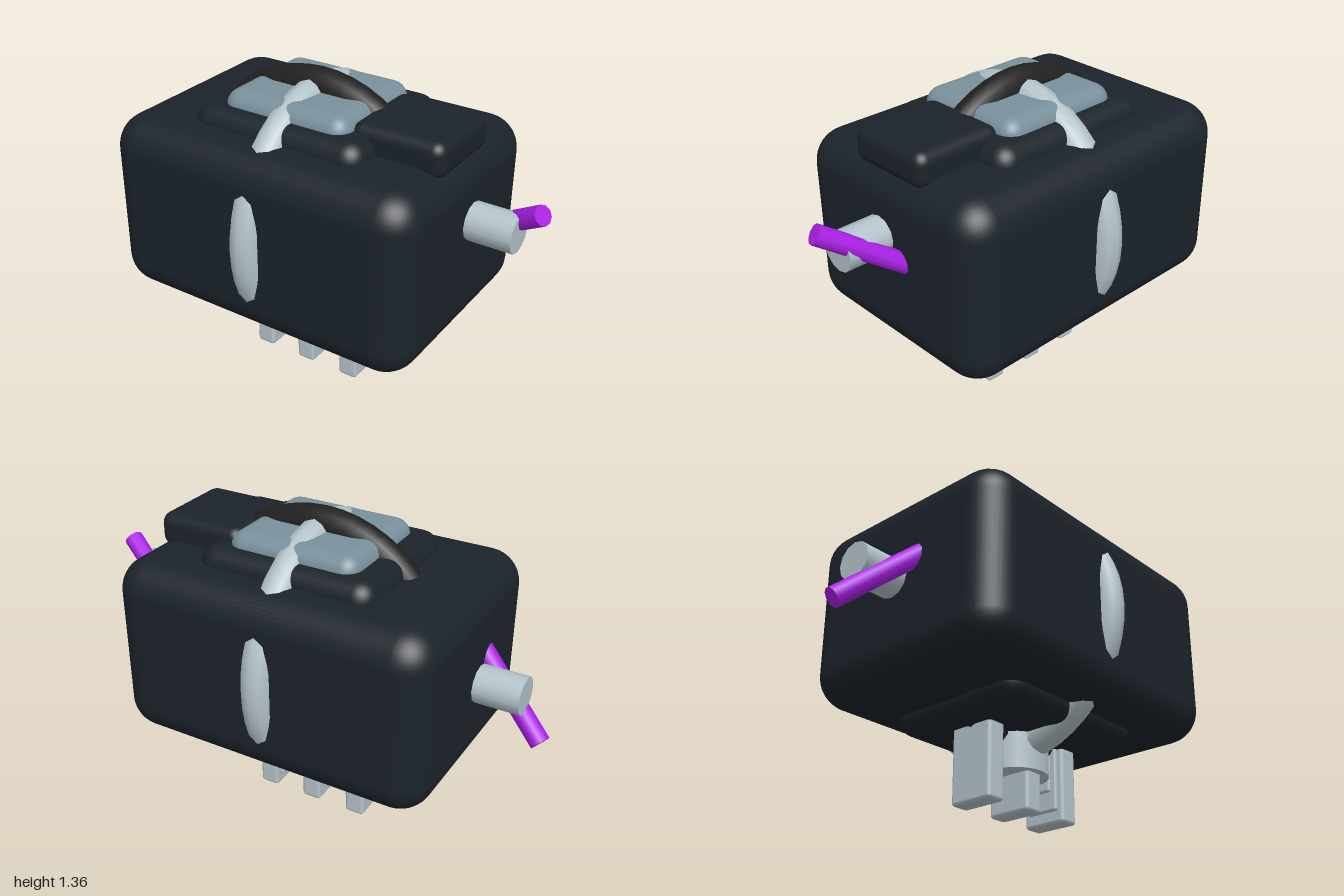
import * as THREE from 'three';
import { RoundedBoxGeometry } from 'three/addons/geometries/RoundedBoxGeometry.js';

export function createModel() {
  const model = new THREE.Group();
  const paint = (color) => new THREE.MeshStandardMaterial({ color });
  const dark = paint(0x1b232a);
  const black = paint(0x212121);
  const slate = paint(0x78909c);
  const silver = paint(0xb4c3ca);
  const purple = paint(0xaa1fe6);

  const add = (name, geometry, material, x = 0, y = 0, z = 0) => {
    const mesh = new THREE.Mesh(geometry, material);
    mesh.name = name;
    mesh.position.set(x, y, z);
    model.add(mesh);
    return mesh;
  };

  // Rounded box given by its limits
  const block = (name, material, [x0, x1], [y0, y1], halfDepth, radius, segments = 5) =>
    add(name, new RoundedBoxGeometry(x1 - x0, y1 - y0, halfDepth * 2, segments, radius),
      material, (x0 + x1) / 2, (y0 + y1) / 2, 0);

  // Cylinder running between two points
  const rod = (name, material, from, to, radius, sides) => {
    const a = new THREE.Vector3(...from);
    const b = new THREE.Vector3(...to);
    const middle = a.clone().add(b).multiplyScalar(0.5);
    const mesh = add(name, new THREE.CylinderGeometry(radius, radius, a.distanceTo(b), sides),
      material, middle.x, middle.y, middle.z);
    mesh.quaternion.setFromUnitVectors(new THREE.Vector3(0, 1, 0), b.sub(a).normalize());
    return mesh;
  };

  // Body, with stepped plates above and below
  block('body', dark, [-0.695, 0.695], [0.378, 1.155], 0.5, 0.14);
  block('innerPlate', dark, [-0.388, 0.388], [0.31, 1.225], 0.33, 0.08);
  block('topPanel', slate, [-0.287, 0.287], [0.34, 1.282], 0.26, 0.07);
  block('sideModule', dark, [0.265, 0.66], [1.11, 1.26], 0.195, 0.05);

  // Two crossing rings that break through the body
  add('crossRing', new THREE.TorusGeometry(0.493, 0.068, 10, 48), black, 0, 0.797, 0);
  add('lengthRing', new THREE.TorusGeometry(0.49, 0.065, 10, 48), silver, 0, 0.77, 0)
    .rotation.y = Math.PI / 2;

  // Side stubs and slanted rods
  rod('leftStub', silver, [0.705, 0.893, 0], [0.895, 0.893, 0], 0.078, 12);
  rod('rightStub', silver, [-0.705, 0.768, 0], [-0.895, 0.768, 0], 0.078, 12);
  rod('leftRod', purple, [0.98, 1.003, 0.005], [0.6, 0.75, -0.135], 0.041, 10);
  rod('rightRod', purple, [-0.975, 0.583, -0.005], [-0.6, 0.915, 0.14], 0.041, 10);

  // Socket and three prongs underneath
  add('socket', new THREE.CylinderGeometry(0.135, 0.135, 0.17, 24), silver, 0, 0.245, 0);
  block('middleProng', silver, [-0.043, 0.043], [0, 0.32], 0.1, 0.015, 2);
  for (const side of [-1, 1]) {
    const range = (a, b) => (side > 0 ? [a, b] : [-b, -a]);
    block('outerProng', silver, range(0.175, 0.262), [0, 0.42], 0.1, 0.015, 2);
    block('prongStep', silver, range(0.16, 0.2), [0.05, 0.4], 0.075, 0.01, 2);
    block('prongInnerStep', silver, range(0.15, 0.19), [0.13, 0.4], 0.05, 0.01, 2);
  }
  return model;
}
